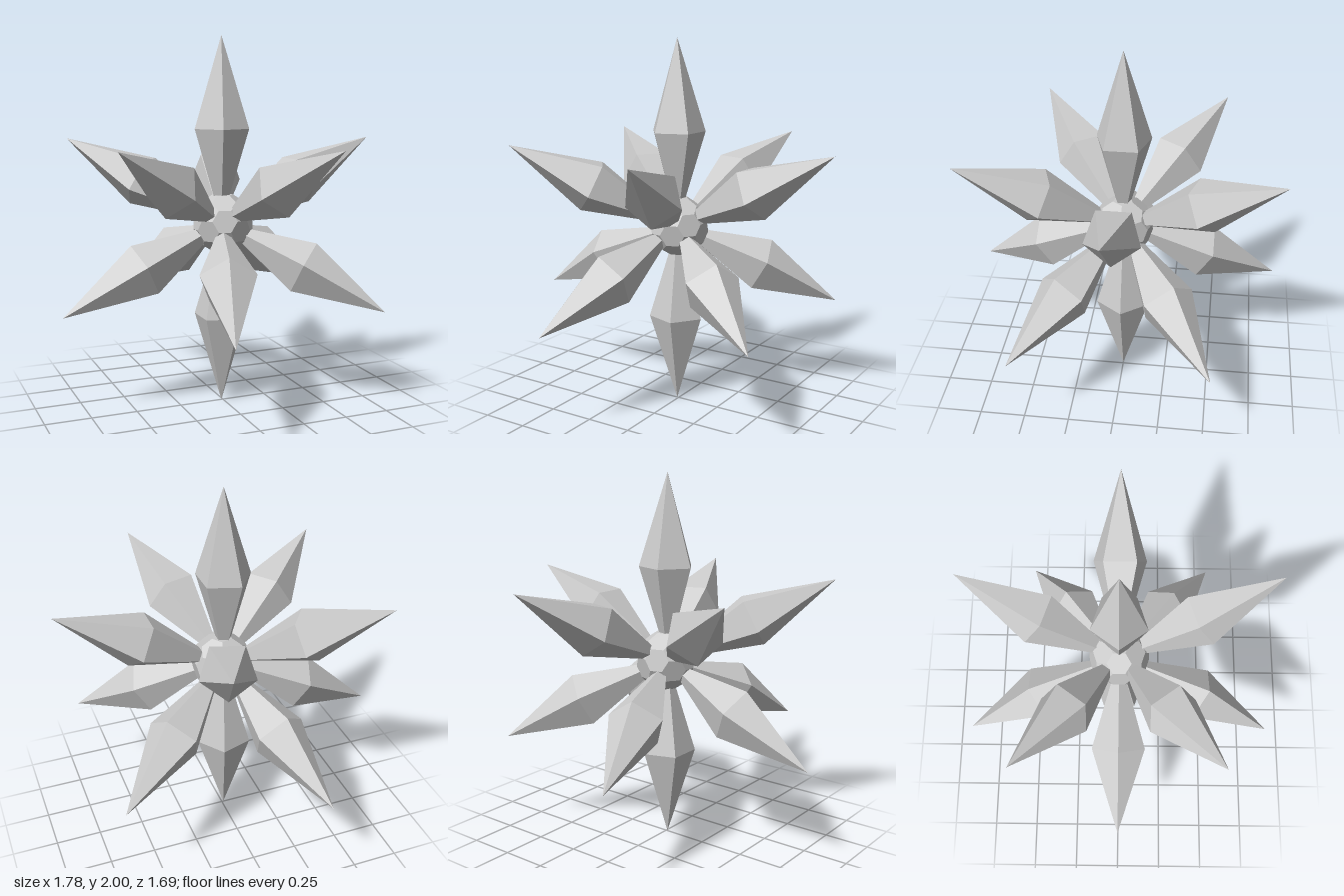
import * as THREE from 'three';
import { ConvexGeometry } from 'three/addons/geometries/ConvexGeometry.js';

const CORE_RADIUS = 0.164;

// The twelve spike directions: two poles and two staggered rings of five
function spikeDirections() {
  const dirs = [new THREE.Vector3(0, 1, 0), new THREE.Vector3(0, -1, 0)];
  const r = 2 / Math.sqrt(5), h = 1 / Math.sqrt(5);
  for (let i = 0; i < 5; i++) {
    const a = (i * Math.PI * 2) / 5;
    const ring = new THREE.Vector3(r * Math.cos(a), h, r * Math.sin(a));
    dirs.push(ring, ring.clone().negate());
  }
  return dirs;
}

// Neighbouring directions lie about 63 degrees apart
const areNeighbours = (a, b) => a !== b && a.dot(b) > 0.4;

// Core of pentagons and hexagons, with corners a third of the way between neighbours
function makeCore(dirs, material) {
  const corners = [];
  for (const a of dirs) {
    for (const b of dirs) {
      if (areNeighbours(a, b)) corners.push(a.clone().lerp(b, 1 / 3).setLength(CORE_RADIUS));
    }
  }
  const core = new THREE.Mesh(new ConvexGeometry(corners), material);
  core.name = 'core';
  return core;
}

// Five-sided double-pointed crystal, starting at the centre
function makeSpikeGeometry() {
  const profile = [[0, 0], [0.152, 0.51], [0, 1]].map(([x, y]) => new THREE.Vector2(x, y));
  return new THREE.LatheGeometry(profile, 5);
}

export function createModel() {
  const model = new THREE.Group();
  model.name = 'spikedStar';
  const material = new THREE.MeshStandardMaterial({ color: 0xcccccc, flatShading: true });
  const dirs = spikeDirections();
  const burst = new THREE.Group();
  burst.name = 'burst';
  burst.position.y = 1;
  burst.add(makeCore(dirs, material));

  const geometry = makeSpikeGeometry();
  dirs.forEach((dir, i) => {
    const spike = new THREE.Mesh(geometry, material);
    spike.name = `spike${i + 1}`;
    // Turn one ridge away from a neighbouring spike
    const neighbour = dirs.find((d) => areNeighbours(d, dir));
    const ridge = neighbour.clone().projectOnPlane(dir).normalize().negate();
    const side = new THREE.Vector3().crossVectors(dir, ridge);
    spike.quaternion.setFromRotationMatrix(new THREE.Matrix4().makeBasis(side, dir, ridge));
    // Ring spikes are a touch shorter; all but the outermost pair sit slightly to one side
    if (Math.abs(dir.y) < 0.9) spike.scale.y = 0.994;
    if (Math.abs(dir.x) < 0.85) spike.position.x = -0.009;
    burst.add(spike);
  });

  model.add(burst);
  return model;
}
